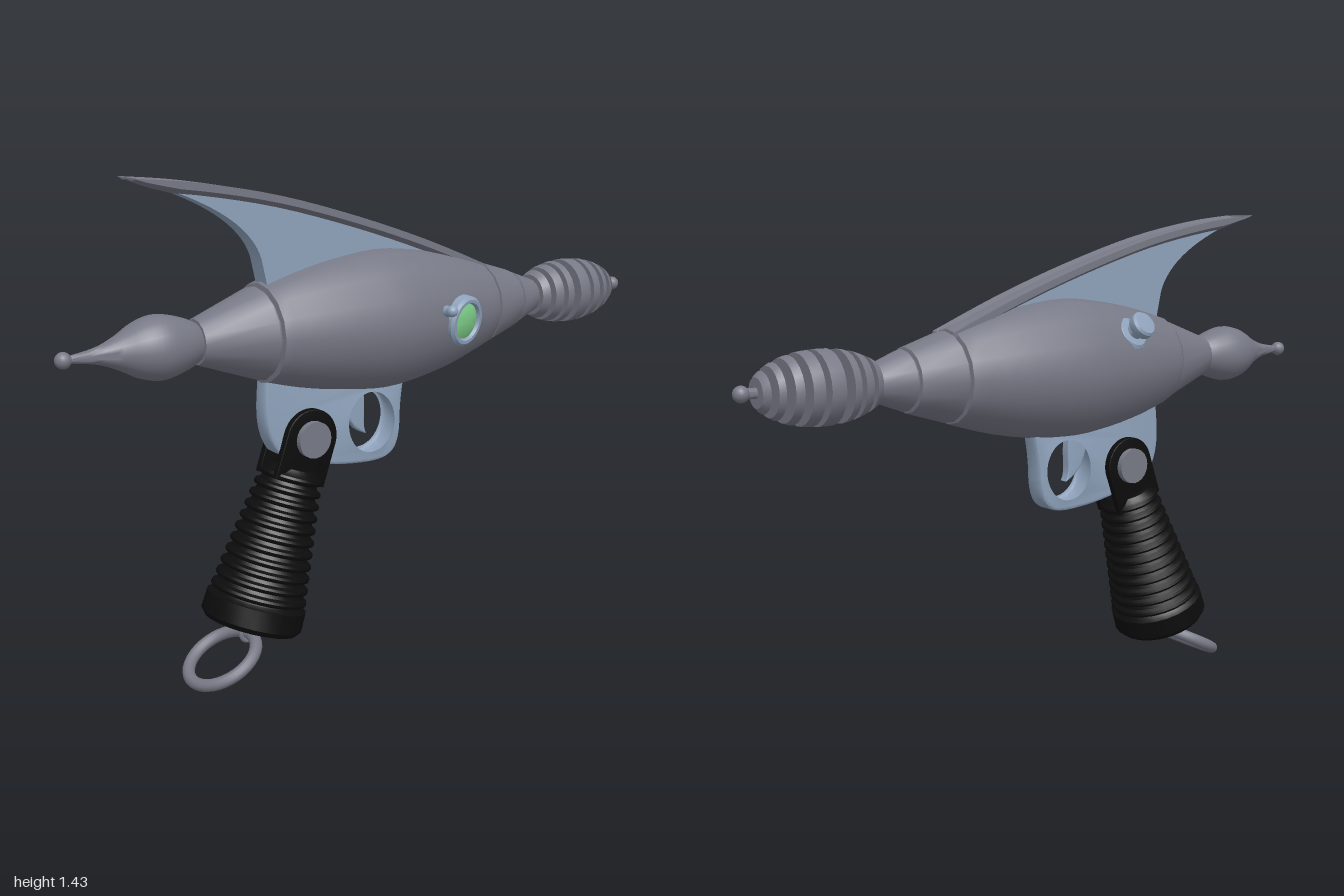
import * as THREE from 'three';
import { toCreasedNormals } from 'three/addons/utils/BufferGeometryUtils.js';

const AXIS_Y = 0.992;
const paint = (color) => new THREE.MeshStandardMaterial({ color, side: THREE.DoubleSide });
const V2 = (p) => new THREE.Vector2(p[0], p[1]);

export function createModel() {
  const model = new THREE.Group();
  const gun = new THREE.Group();
  gun.name = 'rayGun';
  gun.position.x = -0.008;
  model.add(gun);

  const steel = paint(0x777986);
  const blue = paint(0x8fa3bc);
  const black = paint(0x0c0c0c);
  const green = paint(0x7fd08a);

  const add = (name, geometry, material, parent = gun) => {
    const mesh = new THREE.Mesh(geometry, material);
    mesh.name = name;
    parent.add(mesh);
    return mesh;
  };
  // Lathe from [radius, height] pairs, listed from low to high
  const lathe = (points, sides = 20) =>
    toCreasedNormals(new THREE.LatheGeometry(points.map(V2), sides), 0.6);
  // Lathe lying along z on the barrel axis
  const axial = (name, points, material = steel, sides = 16) => {
    const mesh = add(name, lathe(points, sides), material);
    mesh.rotation.x = Math.PI / 2;
    mesh.position.y = AXIS_Y;
    return mesh;
  };
  const smooth = (points, n) =>
    new THREE.SplineCurve(points.map(V2)).getPoints(n).map((p) => [p.x, p.y]);
  // Plate drawn in (z, y) and given a thickness in x
  const plate = (shape, width, bevel = 0) => {
    const g = new THREE.ExtrudeGeometry(shape, {
      depth: width - 2 * bevel, curveSegments: 20, bevelEnabled: bevel > 0,
      bevelSize: bevel, bevelThickness: bevel, bevelOffset: -bevel, bevelSegments: 3,
    });
    g.translate(0, 0, -width / 2 + bevel);
    g.rotateY(-Math.PI / 2);
    return toCreasedNormals(g, 0.6);
  };

  // Body: three shells parted by shallow grooves
  axial('body', [
    [0, -0.6], [0.052, -0.6], [0.085, -0.51], [0.078, -0.508], [0.078, -0.502], [0.09, -0.5],
    [0.128, -0.375], [0.118, -0.373], [0.118, -0.366],
    ...smooth([[0.132, -0.364], [0.178, -0.2], [0.207, 0], [0.196, 0.15], [0.17, 0.29], [0.138, 0.405]], 16),
    [0.122, 0.407], [0.122, 0.414], [0.13, 0.416], [0.062, 0.605], [0, 0.605],
  ]);

  // Teardrop at the front and the end balls
  axial('teardrop', smooth([[0.048, 0.595], [0.07, 0.64], [0.087, 0.71], [0.076, 0.77],
    [0.045, 0.83], [0.022, 0.89], [0.009, 0.97]], 24), steel, 24);
  for (const z of [-0.978, 0.978]) {
    add('endBall', new THREE.SphereGeometry(0.022, 16, 12), steel).position.set(0, AXIS_Y, z);
  }

  // Emitter: discs strung on a rod, following an oval outline
  axial('emitterRod', [[0, -0.97], [0.014, -0.97], [0.014, -0.59], [0, -0.59]]);
  const oval = (z) => 0.101 * Math.sqrt(Math.max(0, 1 - ((z + 0.757) / 0.197) ** 2));
  for (const [a, b] of [[-0.627, -0.604], [-0.67, -0.643], [-0.708, -0.686], [-0.777, -0.735],
    [-0.826, -0.794], [-0.869, -0.847], [-0.906, -0.89], [-0.938, -0.922]]) {
    const lo = Math.min(a, b), hi = Math.max(a, b);
    axial('emitterDisc', [[0, lo], [oval(lo), lo], [oval((lo + hi) / 2), (lo + hi) / 2],
      [oval(hi), hi], [0, hi]], steel, 24);
  }

  // Fin web
  const web = new THREE.Shape();
  web.moveTo(0.74, 1.418);
  web.bezierCurveTo(0.56, 1.36, 0.44, 1.29, 0.41, 1.2);
  web.lineTo(0.39, 1.11);
  web.lineTo(-0.3, 1.11);
  web.lineTo(-0.33, 1.118);
  web.quadraticCurveTo(0.2, 1.3, 0.42, 1.365);
  web.closePath();
  add('finWeb', plate(web, 0.058), blue);

  // Fin rail: grooved section swept along the top edge
  const edge = new THREE.SplineCurve([[0.78, 1.432], [0.6, 1.412], [0.36, 1.366], [0.1, 1.292],
    [-0.15, 1.206], [-0.375, 1.115]].map(V2));
  const rings = 20, pos = [], idx = [];
  for (let i = 0; i <= rings; i++) {
    const t = i / rings, p = edge.getPoint(t);
    const thick = 0.004 + 0.03 * Math.min(1, t * 7);
    const section = [[-0.052, 0], [-0.026, -0.007], [0, -0.004], [0.026, -0.007], [0.052, 0],
      [0.052, -thick * 0.6], [0.026, -thick], [-0.026, -thick], [-0.052, -thick * 0.6]];
    for (const [x, dy] of section) pos.push(x, p.y + dy, p.x);
  }
  const N = 9;
  for (let i = 0; i < rings; i++) {
    for (let j = 0; j < N; j++) {
      const a = i * N + j, b = i * N + (j + 1) % N;
      idx.push(a, b, b + N, a, b + N, a + N);
    }
  }
  for (let j = 1; j < N - 1; j++) {
    const e = rings * N;
    idx.push(0, j + 1, j, e, e + j, e + j + 1);
  }
  const rail = new THREE.BufferGeometry();
  rail.setAttribute('position', new THREE.Float32BufferAttribute(pos, 3));
  rail.setIndex(idx);
  add('finRail', toCreasedNormals(rail, 0.3), steel);

  // Frame with trigger guard, a little wider toward the bottom
  const frame = new THREE.Shape();
  frame.moveTo(0.4, 0.89);
  frame.bezierCurveTo(0.405, 0.8, 0.42, 0.72, 0.37, 0.65);
  frame.bezierCurveTo(0.3, 0.6, 0.16, 0.57, 0.04, 0.567);
  frame.bezierCurveTo(-0.04, 0.567, -0.055, 0.6, -0.062, 0.67);
  frame.quadraticCurveTo(-0.065, 0.74, -0.085, 0.82);
  frame.lineTo(0, 0.84);
  frame.closePath();
  const hole = new THREE.Path();
  hole.absellipse(0.045, 0.688, 0.093, 0.1, 0, Math.PI * 2, true);
  frame.holes.push(hole);
  const frameGeo = plate(frame, 0.05, 0.01);
  const fp = frameGeo.attributes.position;
  for (let i = 0; i < fp.count; i++) {
    const drop = THREE.MathUtils.clamp(0.87 - fp.getY(i), 0, 0.22);
    fp.setX(i, fp.getX(i) * (1 + drop * 2));
  }
  add('frame', frameGeo, blue);

  // Trigger
  const trigger = new THREE.Shape();
  trigger.moveTo(0.13, 0.8);
  trigger.bezierCurveTo(0.135, 0.72, 0.1, 0.665, 0.05, 0.65);
  trigger.bezierCurveTo(0.07, 0.69, 0.045, 0.73, 0.065, 0.8);
  trigger.closePath();
  add('trigger', plate(trigger, 0.03, 0.005), blue);

  // Raked grip hanging from its pivot
  const grip = new THREE.Group();
  grip.name = 'grip';
  grip.position.set(0, 0.68, 0.27);
  grip.rotation.x = -0.339;
  gun.add(grip);
  const profile = [[0, -0.56], [0.136, -0.56], [0.148, -0.545], [0.146, -0.49], [0.13, -0.482]];
  const ribs = 11, low = -0.478, step = 0.0345;
  for (let i = 0; i < ribs; i++) {
    const r = THREE.MathUtils.lerp(0.141, 0.094, i / (ribs - 1));
    const y = low + i * step;
    profile.push([r - 0.014, y], [r - 0.003, y + 0.005], [r, y + 0.012], [r - 0.003, y + 0.019],
      [r - 0.014, y + 0.025]);
  }
  profile.push([0.07, -0.095], [0, -0.09]);
  add('ribbedHandle', lathe(profile, 24), black, grip);
  const lug = new THREE.Shape();
  lug.moveTo(0.085, -0.13);
  lug.lineTo(0.085, 0);
  lug.absarc(0, 0, 0.085, 0, Math.PI, false);
  lug.lineTo(-0.085, -0.13);
  lug.closePath();
  for (const side of [-1, 1]) {
    add('gripLug', plate(lug, 0.022, 0.003), black, grip).position.x = side * 0.043;
    const pin = add('pivotCap', new THREE.CylinderGeometry(0.053, 0.053, 0.03, 20), steel, grip);
    pin.rotation.z = Math.PI / 2;
    pin.position.x = side * 0.057;
  }

  // Lanyard eye and ring
  const eye = add('lanyardEye', new THREE.TorusGeometry(0.026, 0.007, 8, 20), steel);
  eye.rotation.y = Math.PI / 2;
  eye.position.set(0, 0.126, 0.462);
  const ring = add('lanyardRing', new THREE.TorusGeometry(0.105, 0.018, 12, 36), steel);
  ring.rotation.x = Math.PI / 2 + 0.482;
  ring.position.set(0, 0.071, 0.552);

  // Round fitting whose own y axis points out of the body
  const fitting = (name, position, direction) => {
    const g = new THREE.Group();
    g.name = name;
    g.position.set(...position);
    g.quaternion.setFromUnitVectors(new THREE.Vector3(0, 1, 0), new THREE.Vector3(...direction).normalize());
    gun.add(g);
    return g;
  };

  // Gauge on the left side
  const gauge = fitting('gauge', [0.172, 0.985, -0.18], [1, -0.12, -0.24]);
  add('gaugeBezel', lathe([[0, -0.03], [0.074, -0.03], [0.074, 0.012], [0.066, 0.02], [0.056, 0.02],
    [0.052, 0.01], [0, 0.01]], 28), blue, gauge);
  add('gaugeLens', lathe([[0.052, 0.01], [0.035, 0.017], [0, 0.02]], 24), green, gauge);
  const stud = fitting('gaugeStud', [0.196, 1.024, -0.104], [1, 0.15, 0]);
  add('studStem', new THREE.CylinderGeometry(0.014, 0.018, 0.05, 12), blue, stud);
  add('studBall', new THREE.SphereGeometry(0.017, 12, 10), blue, stud).position.y = 0.018;

  // Knob on the upper right side
  const knob = fitting('sideKnob', [-0.138, 1.083, 0.18], [-0.83, 0.55, 0.1]);
  add('knobTurning', lathe([[0, -0.02], [0.052, -0.02], [0.052, 0.018], [0.044, 0.026], [0.024, 0.028],
    [0.024, 0.045], [0.036, 0.048], [0.04, 0.055], [0.04, 0.072], [0.034, 0.079], [0, 0.081]], 20), blue, knob);

  return model;
}
